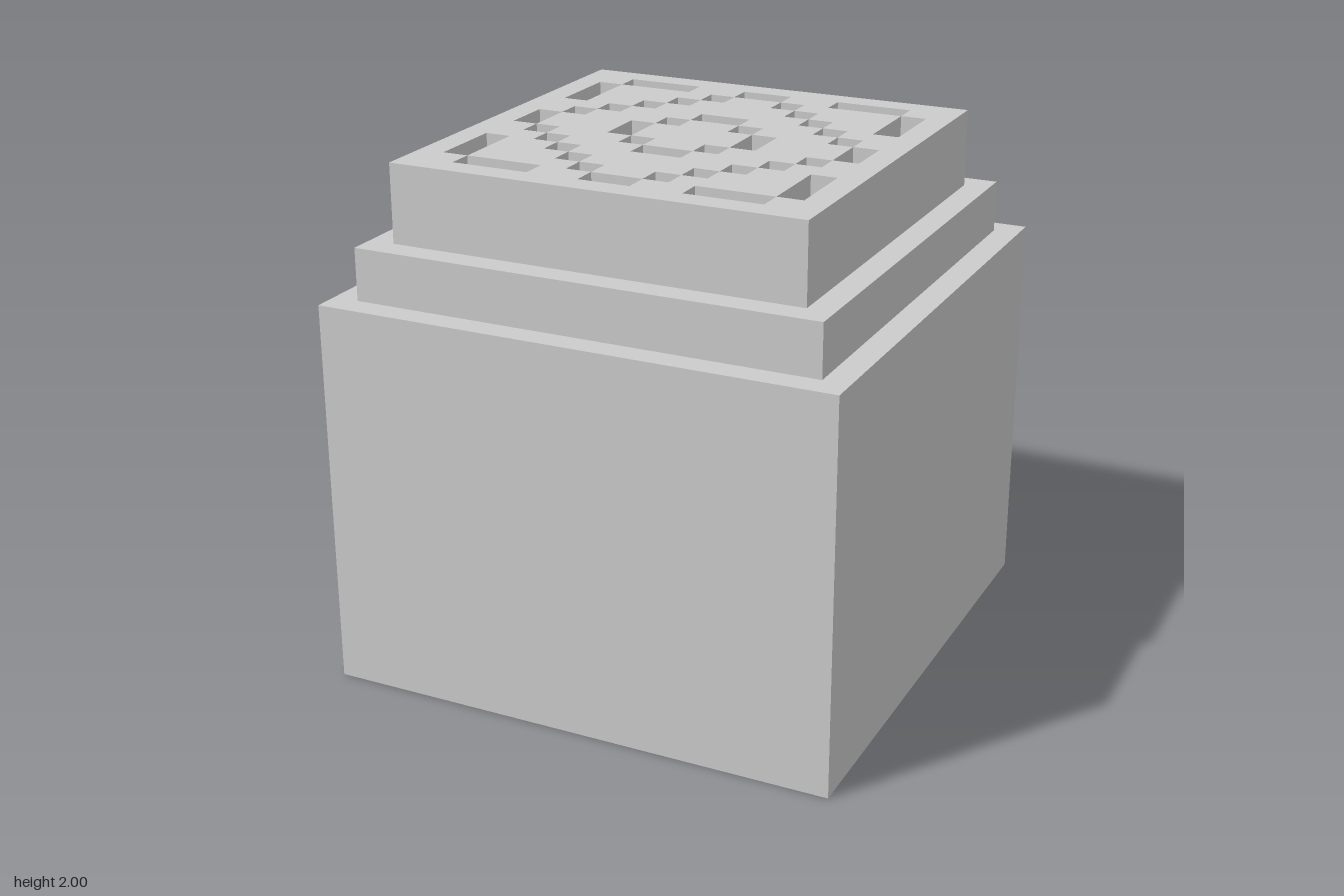
import * as THREE from 'three';

const CELL = 0.1;          // carving grid size
const HALF = 8;            // cap is 16 x 16 cells
const CAP_BOTTOM = 1.7, CAP_TOP = 2, FLOOR = 1.9;

// Carved cells of one quadrant, as [column, row] counted outwards from the centre
const CARVED = new Set([
  [0, 2], [1, 1], [2, 0],                                          // inner ring
  [0, 6], [1, 5], [2, 4], [3, 3], [4, 2], [5, 1], [6, 0],          // outer diamond
  [3, 6], [4, 6], [5, 6], [6, 3], [6, 4], [6, 5],                  // corner brackets
].map(String));

// Surface height of a cell; the pattern is mirrored in x and z
function heightAt(i, j) {
  const a = i < 0 ? -1 - i : i, b = j < 0 ? -1 - j : j;
  if (a >= HALF || b >= HALF) return CAP_BOTTOM;
  return CARVED.has(`${a},${b}`) ? FLOOR : CAP_TOP;
}

// Cap: a horizontal face per cell and a wall wherever a neighbour is lower
function carvedCap() {
  const pos = [], index = [], r = CELL / 2;
  const quad = (...corners) => {
    const n = pos.length / 3;
    corners.forEach((c) => pos.push(...c));
    index.push(n, n + 1, n + 2, n, n + 2, n + 3);
  };
  for (let i = -HALF; i < HALF; i++) {
    for (let j = -HALF; j < HALF; j++) {
      const x = (i + 0.5) * CELL, z = (j + 0.5) * CELL, h = heightAt(i, j);
      quad([x - r, h, z + r], [x + r, h, z + r], [x + r, h, z - r], [x - r, h, z - r]);
      for (const [dx, dz] of [[1, 0], [-1, 0], [0, 1], [0, -1]]) {
        const low = heightAt(i + dx, j + dz);
        if (low >= h) continue;
        const cx = x + dx * r, cz = z + dz * r, tx = dz * r, tz = -dx * r;
        quad([cx - tx, low, cz - tz], [cx + tx, low, cz + tz],
          [cx + tx, h, cz + tz], [cx - tx, h, cz - tz]);
      }
    }
  }
  const geometry = new THREE.BufferGeometry();
  geometry.setAttribute('position', new THREE.Float32BufferAttribute(pos, 3));
  geometry.setIndex(index);
  geometry.computeVertexNormals();
  return geometry;
}

export function createModel() {
  const group = new THREE.Group();
  group.name = 'steppedBlock';
  const material = new THREE.MeshStandardMaterial({ color: 0xcccccc, flatShading: true });

  const add = (name, geometry, y = 0) => {
    const mesh = new THREE.Mesh(geometry, material);
    mesh.name = name;
    mesh.position.y = y;
    group.add(mesh);
  };

  add('base', new THREE.BoxGeometry(2, 1.5, 2), 0.75);
  add('middleStep', new THREE.BoxGeometry(1.8, 0.2, 1.8), 1.6);
  add('carvedCap', carvedCap());
  return group;
}
